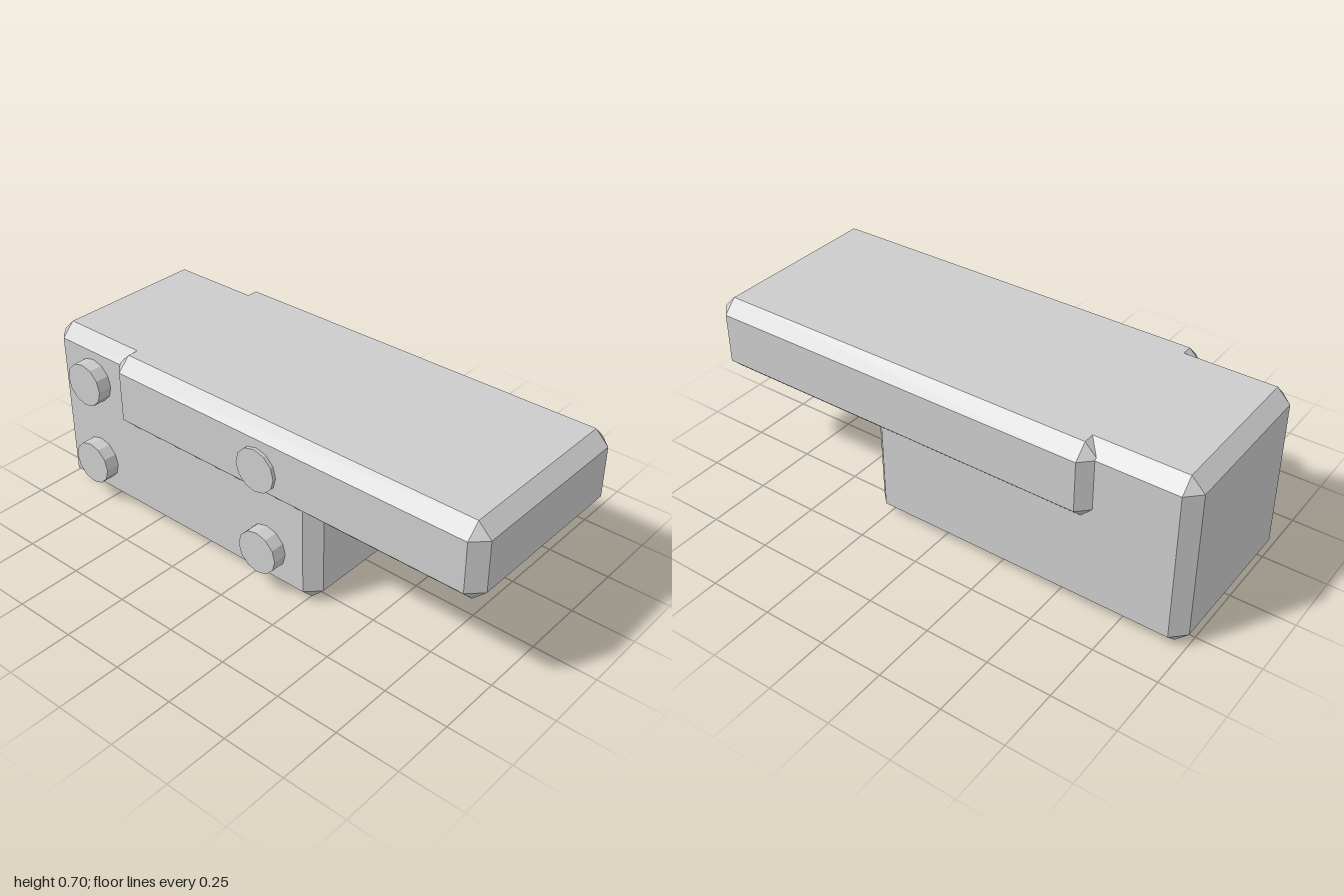
import * as THREE from 'three';
import { ConvexGeometry } from 'three/addons/geometries/ConvexGeometry.js';

// Box with every edge chamfered at 45 degrees and triangular corners
function chamferedBox(min, max, bevel) {
  const points = [];
  for (let corner = 0; corner < 8; corner++) {
    for (let axis = 0; axis < 3; axis++) {
      // each corner has one point per face, inset along the other two axes
      const p = [0, 1, 2].map((i) => {
        const inset = i === axis ? 0 : bevel;
        return (corner >> i) & 1 ? max[i] - inset : min[i] + inset;
      });
      points.push(new THREE.Vector3(...p));
    }
  }
  return new ConvexGeometry(points);
}

export function createModel() {
  const group = new THREE.Group();
  const grey = new THREE.MeshStandardMaterial({ color: 0xcccccc, flatShading: true });
  grey.name = 'light grey';

  function add(name, geometry) {
    const mesh = new THREE.Mesh(geometry, grey);
    mesh.name = name;
    group.add(mesh);
    return mesh;
  }

  // Frame block at the back and long slide across the top
  add('lowerBlock', chamferedBox([-0.342, 0, -1], [0.353, 0.697, 0.305], 0.052));
  add('upperSlide', chamferedBox([-0.385, 0.394, -0.643], [0.397, 0.697, 1], 0.052));

  // Four round studs on the right side, sunk into the blocks
  const studGeometry = new THREE.CylinderGeometry(0.0865, 0.0865, 0.1, 12).rotateZ(Math.PI / 2);
  for (const y of [0.175, 0.525]) {
    for (const z of [-0.785, 0.085]) {
      add('sideStud', studGeometry).position.set(-0.348, y, z);
    }
  }
  return group;
}
